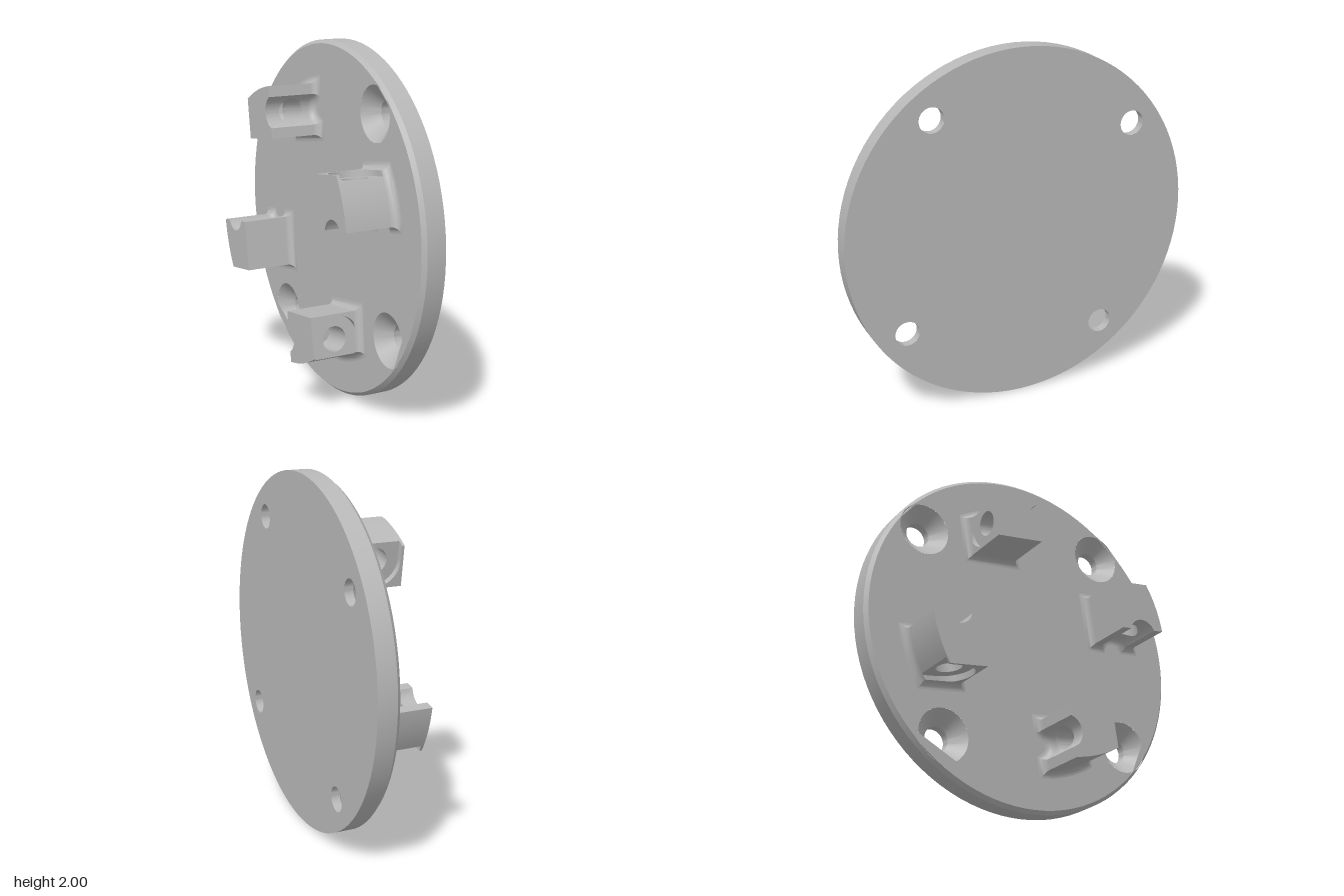
import * as THREE from 'three';
import { toCreasedNormals } from 'three/addons/utils/BufferGeometryUtils.js';

const steel = new THREE.MeshStandardMaterial({ color: 0xb8b8b8 });
steel.name = 'grey metal';

const X0 = 0.085, X1 = 0.215;               // plate back and front faces
const HOLE = 0.07, SINK = 0.15, SINK_X = 0.165;
// lug frame: x across, y radial, z along the bolt
const XC = -0.065, HX = 0.15, RI = 0.477, RO = 0.765, RH = 0.62;
const T_IN = -0.013, T_FLOOR = -0.265, T_SEAT = -0.3, GROOVE = 0.085;

const outer = t => Math.sqrt(RO * RO - t * t);
const groove = r => {                        // bolt-axis position of the grooved face
  const d = r - RH;
  return Math.abs(d) >= GROOVE ? T_IN : T_IN + 0.03 - Math.sqrt(0.09 * 0.09 - d * d);
};

function mesh(name, geo, crease = 0.6) {
  const m = new THREE.Mesh(toCreasedNormals(geo, crease), steel);
  m.name = name;
  return m;
}

// Quad grid from rows of closed loops of points
function loft(rows) {
  const n = rows[0].length, pos = [], index = [];
  rows.forEach(row => row.forEach(p => pos.push(...p)));
  for (let u = 0; u < rows.length - 1; u++) {
    for (let i = 0; i < n; i++) {
      const a = u * n + i, b = u * n + (i + 1) % n;
      index.push(a, a + n, b + n, a, b + n, b);
    }
  }
  const g = new THREE.BufferGeometry();
  g.setAttribute('position', new THREE.Float32BufferAttribute(pos, 3));
  g.setIndex(index);
  return g;
}

// Block with a cross hole, a concave groove on one end and a curved outer wall
function lugBody() {
  const N = 16, rim = [];                    // groove rectangle, counterclockwise
  const edge = (side, fn) => { for (let i = 0; i <= N; i++) rim.push([...fn(i / N * 2 - 1), side]); };
  edge('right', s => [HX, s * GROOVE]);
  edge('top', s => [-s * HX, GROOVE]);
  edge('left', s => [-HX, -s * GROOVE]);
  edge('bottom', s => [s * HX, -GROOVE]);
  const holeAt = p => {
    const a = Math.atan2(p[1], p[0]);
    return [XC + HOLE * Math.cos(a), RH + HOLE * Math.sin(a)];
  };
  const border = (p, t) => [XC + p[0],
    p[2] === 'top' ? outer(t) : p[2] === 'bottom' ? RI : RH + p[1]];
  const rows = [];
  for (let k = 0; k <= 6; k++) {             // grooved face
    rows.push(rim.map(p => {
      const h = holeAt(p), f = k / 6;
      const x = h[0] + (XC + p[0] - h[0]) * f, r = h[1] + (RH + p[1] - h[1]) * f;
      return [x, r, groove(r)];
    }));
  }
  for (let k = 0; k <= 8; k++) {             // side walls
    rows.push(rim.map(p => {
      const side = p[2] === 'top' || p[2] === 'bottom';
      const start = side ? T_IN : groove(RH + p[1]);
      const t = start + (T_FLOOR - start) * k / 8;
      return [...border(p, t), t];
    }));
  }
  rows.push(rim.map(p => [...holeAt(p), T_FLOOR]));              // seat floor
  rows.push(rim.map(p => { const h = holeAt(p); return [...h, groove(h[1])]; })); // bore
  return loft(rows);
}

// U-shaped raised lip around the bolt-head seat, open outward
function seatLip() {
  const s = new THREE.Shape(), top = 0.71, w = HX - 0.015;
  s.moveTo(-HX, RI);
  s.lineTo(HX, RI);
  s.lineTo(HX, top);
  s.lineTo(w, top);
  s.lineTo(w, RH);
  s.absarc(0, RH, w, 0, Math.PI, true);
  s.lineTo(-w, top);
  s.lineTo(-HX, top);
  s.closePath();
  const g = new THREE.ExtrudeGeometry(s, { depth: T_FLOOR - T_SEAT, bevelEnabled: false, curveSegments: 32 });
  g.translate(XC, 0, T_SEAT);
  const p = g.attributes.position;
  for (let i = 0; i < p.count; i++) if (p.getY(i) > 0.7) p.setY(i, outer(p.getZ(i)));
  return g;
}

// Concave fillet between the lug and the plate
function baseFillet() {
  const pts = [], F = 0.04;                  // footprint as [radial, bolt axis]
  for (let i = 0; i <= 8; i++) {
    const t = T_SEAT + (T_IN - T_SEAT) * i / 8;
    pts.push([outer(t), t]);
  }
  for (let i = 0; i <= 12; i++) {
    const r = RH + GROOVE * (1 - i / 6);
    pts.push([r, groove(r)]);
  }
  pts.push([RI, T_IN], [RI, T_SEAT]);
  const n = pts.length;
  const unit = (a, b) => {
    const l = Math.hypot(b[0] - a[0], b[1] - a[1]) || 1;
    return [-(b[1] - a[1]) / l, (b[0] - a[0]) / l];
  };
  const normals = pts.map((p, i) => {
    const a = unit(pts[(i + n - 1) % n], p), b = unit(p, pts[(i + 1) % n]);
    const k = 1 / Math.max(0.6, 1 + a[0] * b[0] + a[1] * b[1]);
    return [-(a[0] + b[0]) * k, -(a[1] + b[1]) * k];
  });
  const rows = [];
  for (let k = 0; k <= 6; k++) {
    const a = k / 6 * Math.PI / 2, off = F * (1 - Math.cos(a)), x = X0 - F + F * Math.sin(a);
    rows.push(pts.map((p, i) => [x, p[0] - normals[i][0] * -off, p[1] - normals[i][1] * -off]));
  }
  // make sure the loop grows outward
  const sum = r => Math.max(...r.map(p => p[1]));
  if (sum(rows[6]) < sum(rows[0])) {
    rows.forEach((row, k) => row.forEach((p, i) => {
      p[1] = 2 * pts[i][0] - p[1];
      p[2] = 2 * pts[i][1] - p[2];
    }));
  }
  return loft(rows.reverse());
}

function lathe(points, segments) {
  const g = new THREE.LatheGeometry(points.map(p => new THREE.Vector2(...p)), segments);
  return g.rotateZ(-Math.PI / 2);            // axis along x
}

function plateFace(radius, holeRadius, centres, flip) {
  const s = new THREE.Shape().absarc(0, 0, radius, 0, Math.PI * 2, false);
  for (const [z, y] of centres) {
    s.holes.push(new THREE.Path().absarc(z * flip, y, holeRadius, 0, Math.PI * 2, true));
  }
  return new THREE.ShapeGeometry(s, 48).rotateY(-flip * Math.PI / 2);
}

export function createModel() {
  const model = new THREE.Group();
  model.name = 'mounting plate';
  const hub = new THREE.Group();
  hub.position.y = 1;
  model.add(hub);

  // Round plate
  const centres = [0, 1, 2, 3].map(k => {
    const a = (53 + 90 * k) * Math.PI / 180;
    return [0.84 * Math.cos(a), 0.84 * Math.sin(a)];
  });
  hub.add(mesh('plateRim', lathe([[0.98, X0], [1, X0 + 0.022], [1, X1]], 96)));
  hub.add(mesh('plateFront', plateFace(1, HOLE, centres, -1).translate(X1, 0, 0)));
  hub.add(mesh('plateBack', plateFace(0.98, SINK, centres, 1).translate(X0, 0, 0)));

  // Countersunk screw holes
  for (const [z, y] of centres) {
    const m = mesh('screwHole', lathe([[HOLE, X1], [HOLE, SINK_X], [SINK, X0]], 48));
    m.position.set(0, y, z);
    hub.add(m);
  }

  // Four bolt lugs
  for (let k = 0; k < 4; k++) {
    const lug = new THREE.Group();
    lug.name = 'boltLug';
    lug.add(mesh('lugBody', lugBody()), mesh('seatLip', seatLip()), mesh('lugFillet', baseFillet()));
    lug.rotation.x = (-9 + 90 * k) * Math.PI / 180;
    hub.add(lug);
  }
  return model;
}
